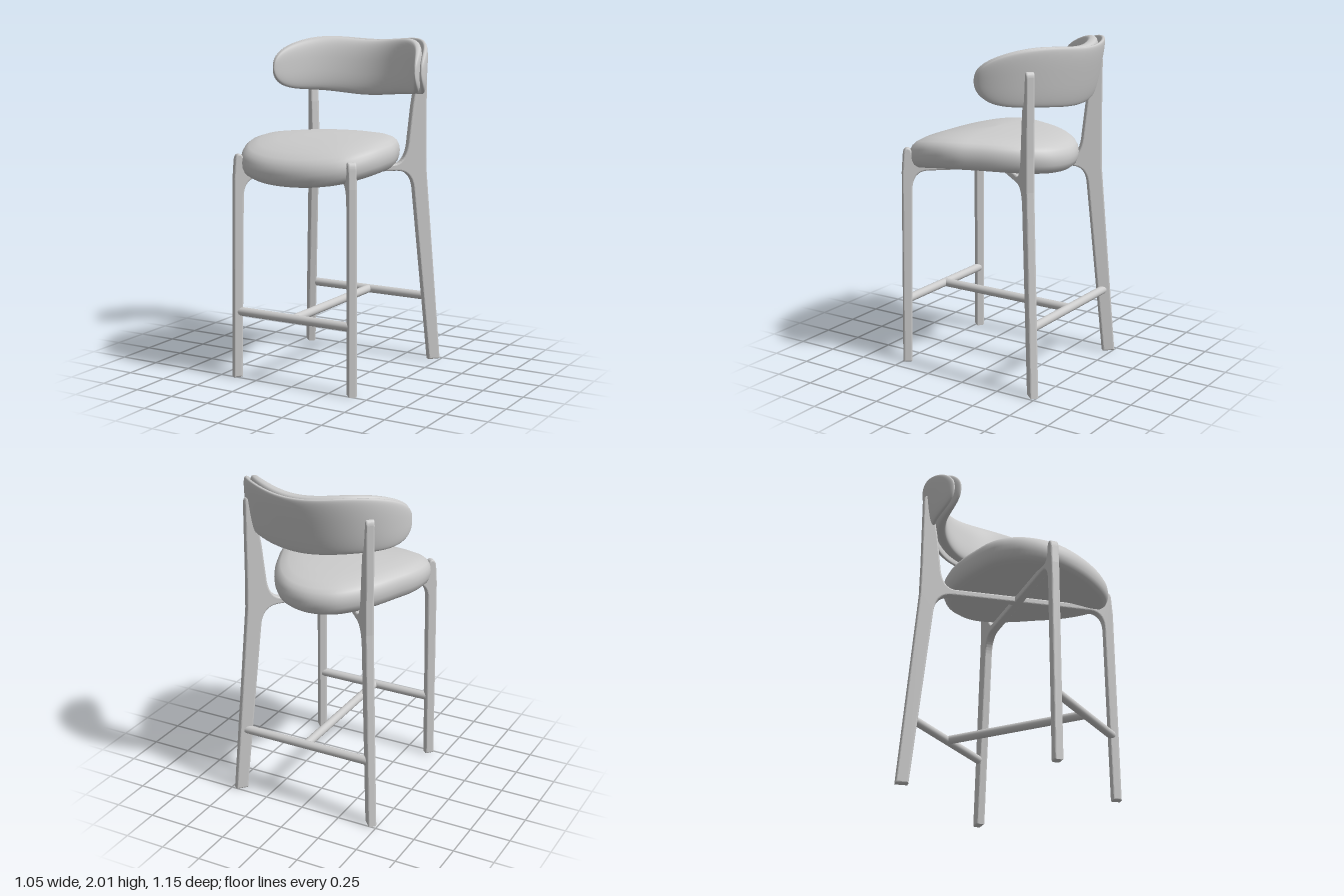
import * as THREE from 'three';

const grey = new THREE.MeshStandardMaterial({ color: 0xcccccc });
grey.name = 'light grey';

function part(name, geometry) {
  const mesh = new THREE.Mesh(geometry, grey);
  mesh.name = name;
  return mesh;
}

// Smooth skin over a list of closed rings with equal point counts
function loft(rings) {
  const m = rings[0].length;
  const index = [];
  for (let i = 0; i < rings.length - 1; i++) {
    for (let j = 0; j < m; j++) {
      const a = i * m + j, b = i * m + (j + 1) % m;
      index.push(a, b, b + m, a, b + m, a + m);
    }
  }
  const g = new THREE.BufferGeometry();
  g.setAttribute('position', new THREE.Float32BufferAttribute(rings.flat(2), 3));
  g.setIndex(index);
  g.computeVertexNormals();
  return g;
}

// Egg-shaped cushion whose front edge droops
function seatGeometry() {
  const half = [[0, -0.44], [0.15, -0.405], [0.26, -0.315], [0.345, -0.19], [0.415, -0.03], [0.455, 0.08],
    [0.466, 0.19], [0.44, 0.33], [0.35, 0.475], [0.2, 0.555], [0, 0.582]];
  const left = half.map(([x, z]) => new THREE.Vector3(-x, 0, z));
  const right = half.slice(1, -1).reverse().map(([x, z]) => new THREE.Vector3(x, 0, z));
  const outline = new THREE.CatmullRomCurve3([...left, ...right], true).getPoints(96).slice(0, -1);
  const profile = [[0, 1.27], [0.45, 1.268], [0.82, 1.266], [0.92, 1.275], [0.97, 1.297], [0.994, 1.328], [1, 1.36],
    [0.99, 1.39], [0.96, 1.415], [0.91, 1.432], [0.8, 1.447], [0.6, 1.456], [0.3, 1.461], [0, 1.462]];
  const zc = 0.08;
  return loft(profile.map(([k, h]) => outline.map((p) => {
    const z = zc + (p.z - zc) * k;
    const drop = z > 0.05 ? 0.095 * ((z - 0.05) / 0.53) ** 2 : 0.03 * ((z - 0.05) / 0.49) ** 2;
    return [p.x * k, h - drop, z];
  })));
}

// Curved pad wrapping round the back: n0 is its inset from the outer arc
function backPad(n0, thickness, maxAngle, heightScale) {
  const rings = [];
  const pow = (v, e) => Math.sign(v) * Math.abs(v) ** e;
  for (let i = 0; i <= 64; i++) {
    const q = Math.sin((i / 64 - 0.5) * Math.PI);
    const angle = q * maxAngle;
    const H = heightScale * 0.172 * Math.max(0, 1 - q ** 4) ** 0.45;
    const T = thickness(q);
    const shrink = Math.max(0, 1 - Math.abs(q) ** 16) ** 0.5;
    const yc = 1.82 + 0.02 * Math.sin(Math.PI * q) ** 2;
    const ring = [];
    for (let j = 0; j < 40; j++) {
      const f = j / 40 * Math.PI * 2;
      const n = n0 + T / 2 - pow(Math.cos(f), 0.65) * T / 2 * shrink;
      const y = yc + pow(Math.sin(f), 0.75) * H;
      const r = 0.543 - n;
      ring.push([r * Math.sin(angle), y,
        -0.042 - r * Math.cos(angle) + 0.24 * (2 - y) * Math.cos(angle)]);
    }
    rings.push(ring);
  }
  return loft(rings);
}

// Diagonal frame: front leg, under-seat beam and tall back leg in one board
function frameGeometry() {
  const s = new THREE.Shape();
  s.moveTo(0.565, 0);
  s.lineTo(0.62, 0);
  s.lineTo(0.606, 1.2);
  s.lineTo(0.598, 1.31);
  s.quadraticCurveTo(0.594, 1.352, 0.571, 1.352);
  s.quadraticCurveTo(0.548, 1.352, 0.543, 1.31);
  s.quadraticCurveTo(0.535, 1.25, 0.48, 1.25);
  s.lineTo(-0.4, 1.25);
  s.quadraticCurveTo(-0.48, 1.26, -0.49, 1.4);
  s.lineTo(-0.512, 1.6);
  s.lineTo(-0.552, 1.85);
  s.quadraticCurveTo(-0.56, 1.882, -0.58, 1.882);
  s.quadraticCurveTo(-0.603, 1.882, -0.606, 1.85);
  s.lineTo(-0.608, 1.4);
  s.lineTo(-0.612, 1.2);
  s.lineTo(-0.715, 0);
  s.lineTo(-0.64, 0);
  s.lineTo(-0.525, 1.1);
  s.quadraticCurveTo(-0.51, 1.21, -0.41, 1.21);
  s.lineTo(0.45, 1.21);
  s.quadraticCurveTo(0.542, 1.21, 0.546, 1.1);
  s.closePath();
  const bevel = 0.01, width = 0.052;
  const g = new THREE.ExtrudeGeometry(s, {
    depth: width - 2 * bevel, bevelThickness: bevel, bevelSize: bevel, bevelOffset: -bevel,
    bevelSegments: 3, curveSegments: 10,
  });
  g.translate(0, 0, -width / 2 + bevel);
  return g;
}

function stretcher(name, length, z, alongZ) {
  const g = new THREE.CylinderGeometry(0.026, 0.026, length, 20);
  if (alongZ) g.rotateX(Math.PI / 2);
  else g.rotateZ(Math.PI / 2);
  const mesh = part(name, g);
  mesh.position.set(0, 0.405, z);
  return mesh;
}

export function createModel() {
  const stool = new THREE.Group();
  stool.name = 'barStool';

  stool.add(part('seat', seatGeometry()));

  // Backrest: thin outer shell with a padded cushion in front
  const backrest = new THREE.Group();
  backrest.name = 'backrest';
  backrest.add(part('backShell', backPad(0, () => 0.042, 1.4, 1)));
  backrest.add(part('backCushion', backPad(0.034, (q) => 0.035 + 0.07 * (1 - q * q), 1.46, 0.985)));
  stool.add(backrest);

  // Two crossed leg frames
  const frame = frameGeometry();
  [['legFrameLeft', -0.842], ['legFrameRight', 0.842 - Math.PI]].forEach(([name, angle]) => {
    const mesh = part(name, frame);
    mesh.rotation.y = angle;
    mesh.position.z = 0.04;
    stool.add(mesh);
  });

  // H-shaped foot rails
  stool.add(stretcher('frontStretcher', 0.77, 0.475, false));
  stool.add(stretcher('backStretcher', 0.85, -0.44, false));
  stool.add(stretcher('middleStretcher', 0.915, 0.0175, true));
  return stool;
}
